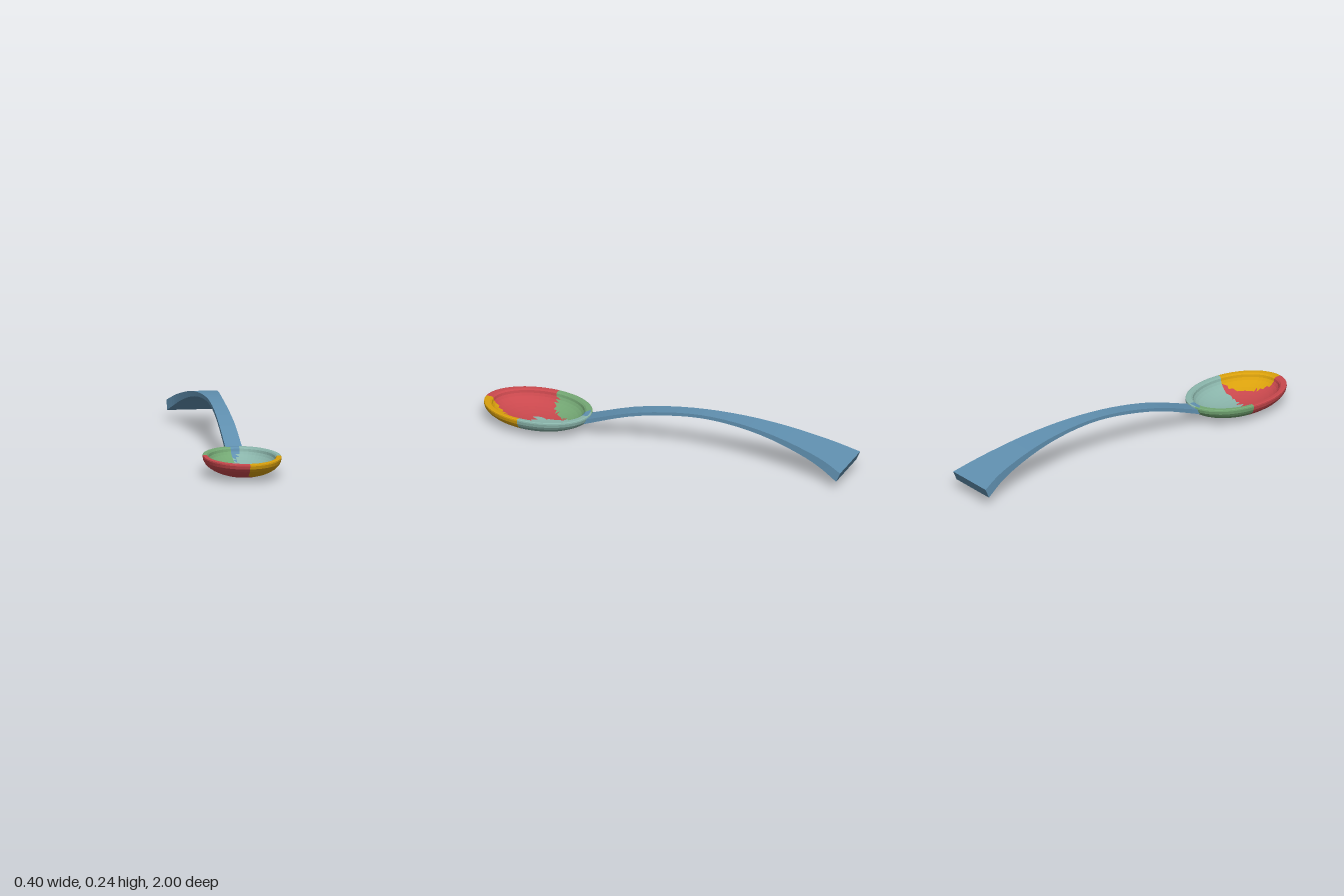
import * as THREE from 'three';

const COLORS = { red: 0xc9484d, gold: 0xd9a00c, teal: 0x8ab5ab, green: 0x74a874, blue: 0x6090b0 };
const CENTRE_Z = 0.712;

function makeMesh(name, positions, color) {
  const geo = new THREE.BufferGeometry();
  geo.setAttribute('position', new THREE.Float32BufferAttribute(positions, 3));
  geo.computeVertexNormals();
  const mesh = new THREE.Mesh(geo, new THREE.MeshStandardMaterial({ color, flatShading: true }));
  mesh.name = name;
  return mesh;
}

// Which colour patch a point of the bowl belongs to
function patchAt(x, z, inside) {
  if (inside && z < 0.54 && z > 0.44 && Math.abs(x + 0.005) < (0.54 - z) * 0.3) return 'blue';
  if (x > -0.02 && z < 0.737) return 'teal';
  if (x <= -0.02 && z < 0.67 - Math.max(0, x + 0.11) * 1.1) return 'green';
  if (x > 0 && z > 0.74 + 0.19 * Math.pow(Math.max(0, 1 - x / 0.18), 1.5)) return 'gold';
  return 'red';
}

// Oval bowl with a rounded lip, split into coloured patches
function createBowl() {
  const profile = [];
  for (let i = 0; i <= 9; i++) {
    const a = (i / 9) * Math.PI / 2;
    profile.push(new THREE.Vector2(0.199 * Math.sin(a), 0.095 * (1 - Math.cos(a))));
  }
  profile.push(new THREE.Vector2(0.198, 0.102), new THREE.Vector2(0.193, 0.104), new THREE.Vector2(0.176, 0.103));
  for (let i = 9; i >= 0; i--) {
    const a = (i / 9) * Math.PI / 2;
    profile.push(new THREE.Vector2(0.17 * Math.sin(a), 0.096 - 0.076 * Math.cos(a)));
  }
  const lathe = new THREE.LatheGeometry(profile, 48);
  lathe.scale(1, 1, 0.288 / 0.199).translate(0, 0, CENTRE_Z);
  const p = lathe.toNonIndexed().attributes.position;
  const patches = {};
  const v = [0, 1, 2].map(() => new THREE.Vector3());
  const n = new THREE.Vector3();
  const tri = new THREE.Triangle(...v);
  for (let i = 0; i < p.count; i += 3) {
    v.forEach((c, k) => c.fromBufferAttribute(p, i + k));
    tri.set(...v);
    if (tri.getArea() < 1e-9) continue;
    tri.getNormal(n);
    const x = (v[0].x + v[1].x + v[2].x) / 3, z = (v[0].z + v[1].z + v[2].z) / 3;
    const key = patchAt(x, z, n.y > 0);
    (patches[key] ??= []).push(...v.flatMap(c => c.toArray()));
  }
  const bowl = new THREE.Group();
  bowl.name = 'bowl';
  for (const key in patches) bowl.add(makeMesh(key + 'BowlPatch', patches[key], COLORS[key]));
  return bowl;
}

// Arched handle: rectangular sections [z, y, half width, thickness] along a curve
function createHandle() {
  const stations = [
    [0.45, 0.076, 0.045, 0.024], [0.4, 0.094, 0.043, 0.022], [0.2, 0.163, 0.041, 0.018],
    [0, 0.206, 0.037, 0.018], [-0.2, 0.228, 0.037, 0.018], [-0.4, 0.225, 0.048, 0.021],
    [-0.6, 0.2, 0.066, 0.028], [-0.8, 0.152, 0.092, 0.039], [-0.9, 0.118, 0.11, 0.048],
    [-0.991, 0.078, 0.135, 0.055],
  ];
  const path = new THREE.CatmullRomCurve3(stations.map(s => new THREE.Vector3(0, s[1], s[0])));
  const size = new THREE.CatmullRomCurve3(stations.map(s => new THREE.Vector3(s[2], s[3], s[0])));
  const steps = 27, rings = [];
  for (let i = 0; i <= steps; i++) {
    const c = path.getPoint(i / steps), t = path.getTangent(i / steps), s = size.getPoint(i / steps);
    const up = new THREE.Vector3(0, -t.z, t.y).multiplyScalar(s.y / 2);
    rings.push([[1, 1], [-1, 1], [-1, -1], [1, -1]].map(([sx, sy]) =>
      c.clone().addScaledVector(up, sy).setX(sx * s.x).toArray()));
  }
  const out = [];
  const quad = (a, b, c, d) => out.push(...a, ...b, ...c, ...a, ...c, ...d);
  for (let i = 0; i < steps; i++) {
    for (let k = 0; k < 4; k++) {
      const m = (k + 1) % 4;
      quad(rings[i][k], rings[i + 1][k], rings[i + 1][m], rings[i][m]);
    }
  }
  quad(...rings[0]);
  quad(...[...rings[steps]].reverse());
  return makeMesh('handle', out, COLORS.blue);
}

export function createModel() {
  const model = new THREE.Group();
  model.name = 'spoon';
  model.add(createBowl(), createHandle());
  return model;
}
